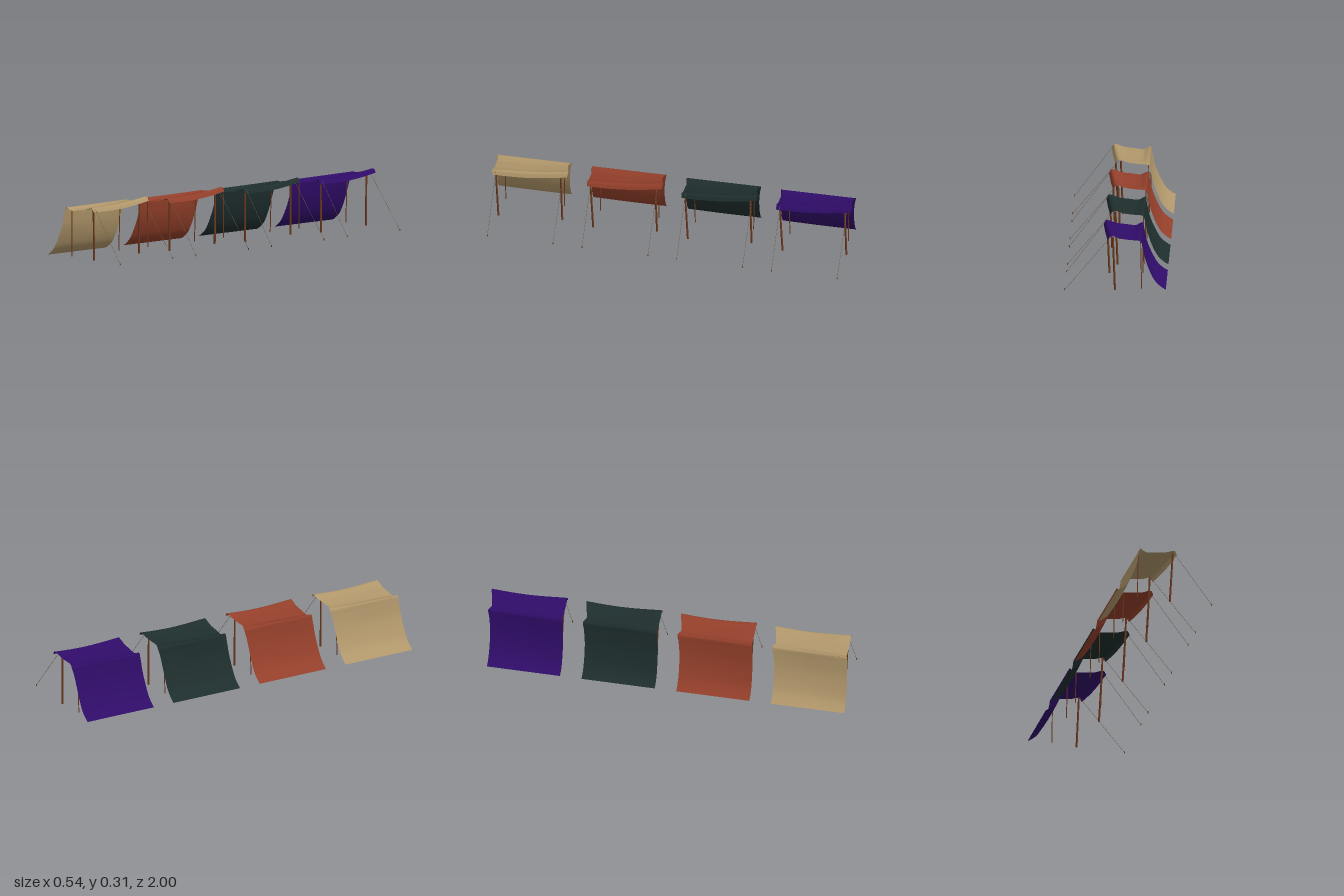
import * as THREE from 'three';

const material = (name, color) => {
  const m = new THREE.MeshStandardMaterial({ color });
  m.name = name;
  return m;
};

const V = (x, y, z) => new THREE.Vector3(x, y, z);

// Side edges of the cloth, from the ground behind, over the ridge, to the front lip
const backEdge = new THREE.CatmullRomCurve3([
  V(-0.27, 0.001, -0.18), V(-0.25, 0.013, -0.18), V(-0.218, 0.042, -0.182), V(-0.188, 0.095, -0.184),
  V(-0.163, 0.165, -0.188), V(-0.147, 0.235, -0.197), V(-0.138, 0.271, -0.205), V(-0.122, 0.275, -0.2),
  V(-0.1, 0.275, -0.194), V(-0.05, 0.283, -0.205), V(-0.015, 0.294, -0.215), V(0.01, 0.305, -0.222),
  V(0.025, 0.302, -0.223), V(0.037, 0.284, -0.222),
]);
const frontEdge = new THREE.CatmullRomCurve3([
  V(-0.27, 0.001, 0.22), V(-0.25, 0.013, 0.22), V(-0.218, 0.042, 0.218), V(-0.188, 0.095, 0.215),
  V(-0.16, 0.165, 0.211), V(-0.145, 0.235, 0.206), V(-0.136, 0.269, 0.203), V(-0.122, 0.264, 0.198),
  V(-0.1, 0.255, 0.194), V(-0.05, 0.261, 0.19), V(0.0, 0.268, 0.186), V(0.045, 0.284, 0.183),
  V(0.058, 0.285, 0.182), V(0.07, 0.265, 0.18),
]);

// Cloth sheet stretched between the two edges, sagging between the poles
function clothGeometry() {
  const geo = new THREE.PlaneGeometry(1, 1, 52, 16);
  const pos = geo.attributes.position;
  for (let i = 0; i < pos.count; i++) {
    const u = pos.getX(i) + 0.5, t = 0.5 - pos.getY(i);
    const p = backEdge.getPoint(u).lerp(frontEdge.getPoint(u), t);
    const sag = Math.sin(Math.PI * t);
    if (u < 0.46) p.x += 0.007 * sag * Math.sin(Math.PI * u / 0.46);
    else p.y -= 0.012 * sag * (u - 0.46) / 0.54;
    // the front side edge curls down a little
    if (u > 0.5) p.y += 0.009 * sag * Math.pow(t, 3) * Math.sin(Math.PI * (u - 0.5) / 0.5);
    pos.setXYZ(i, p.x, p.y, p.z);
  }
  geo.computeVertexNormals();
  return geo;
}

// Round bar between two points
function bar(name, a, b, rBottom, rTop, mat, sides = 8) {
  const mesh = new THREE.Mesh(new THREE.CylinderGeometry(rTop, rBottom, a.distanceTo(b), sides), mat);
  mesh.position.copy(a).add(b).multiplyScalar(0.5);
  mesh.quaternion.setFromUnitVectors(V(0, 1, 0), b.clone().sub(a).normalize());
  mesh.name = name;
  return mesh;
}

export function createModel() {
  const model = new THREE.Group();
  model.name = 'awningRow';
  const wood = material('brown wood', 0x6e3a1e);
  const rope = material('rope', 0x75624a);
  const cloths = [
    material('tan cloth', 0xb0966a), material('rust cloth', 0x933f2a),
    material('dark green cloth', 0x1e2d2d), material('purple cloth', 0x2f0c68),
  ];
  const sheet = clothGeometry();

  cloths.forEach((cloth, i) => {
    cloth.side = THREE.DoubleSide;
    const awning = new THREE.Group();
    awning.name = 'awning';
    awning.position.z = 0.777 - i * 0.518;

    const canopy = new THREE.Mesh(sheet, cloth);
    canopy.name = 'canopy';
    awning.add(canopy);

    // thick leaning poles under the front edge
    awning.add(bar('frontPole', V(0.038, 0.001, 0.153), V(0.051, 0.28, 0.165), 0.0055, 0.005, wood));
    awning.add(bar('frontPole', V(0, 0.001, -0.187), V(0.011, 0.288, -0.18), 0.0055, 0.005, wood));
    // thin poles under the ridge
    awning.add(bar('ridgePole', V(-0.141, 0.001, 0.156), V(-0.136, 0.268, 0.162), 0.0026, 0.0024, wood));
    awning.add(bar('ridgePole', V(-0.141, 0.001, -0.163), V(-0.136, 0.268, -0.168), 0.0026, 0.0024, wood));

    // guy ropes with pegs
    for (const [top, z] of [[V(0.058, 0.283, 0.162), 0.158], [V(0.022, 0.292, -0.195), -0.202]]) {
      awning.add(bar('guyRope', V(0.265, 0.006, z), top, 0.0009, 0.0009, rope, 6));
      awning.add(bar('peg', V(0.265, 0, z), V(0.267, 0.01, z), 0.002, 0.003, wood, 6));
    }
    model.add(awning);
  });
  return model;
}
